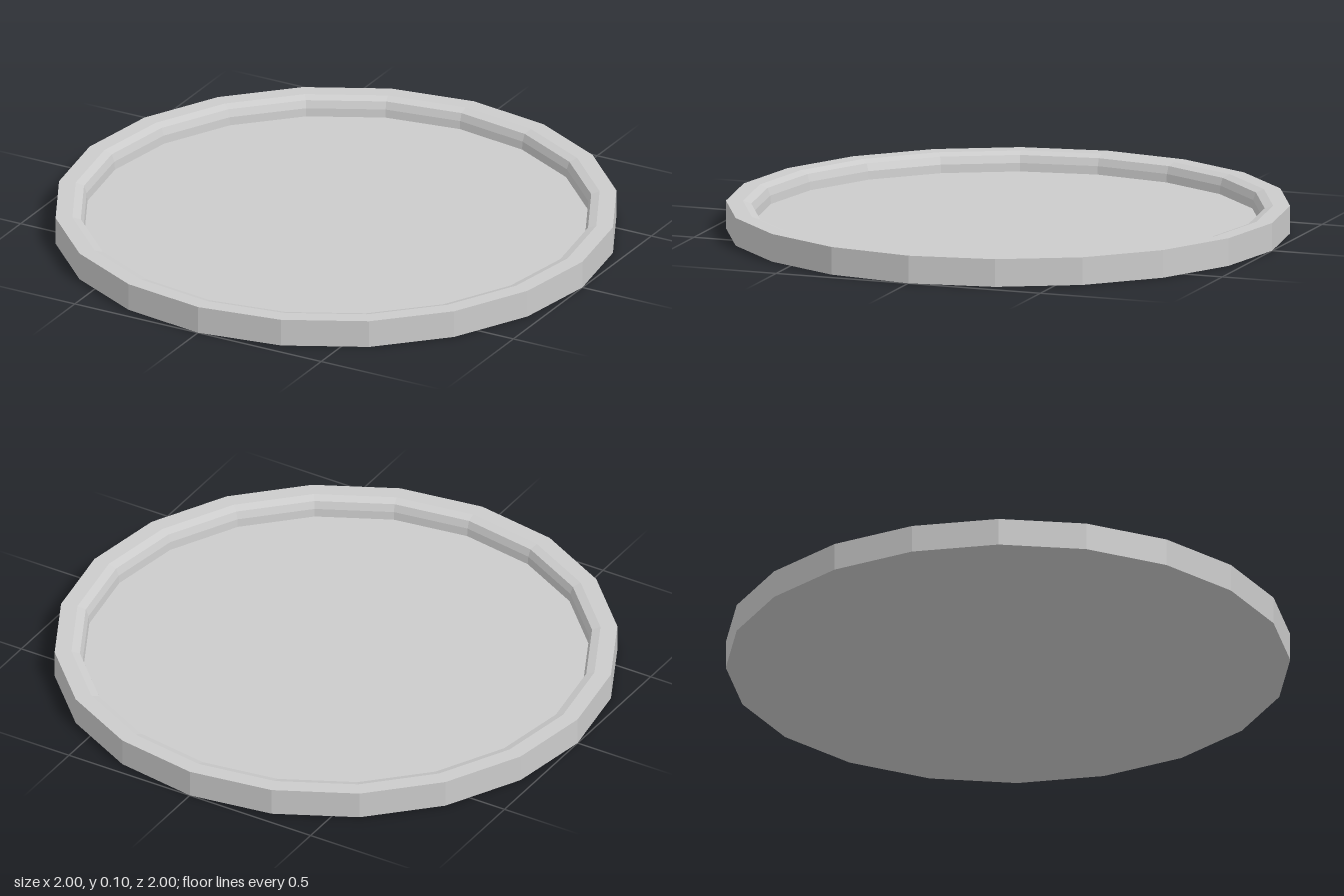
import * as THREE from 'three';

const SIDES = 20;

// Revolve a list of [radius, height] pairs into a faceted part
function turned(name, profile, material) {
  const points = profile.map(([r, y]) => new THREE.Vector2(r, y));
  const mesh = new THREE.Mesh(new THREE.LatheGeometry(points, SIDES), material);
  mesh.name = name;
  return mesh;
}

// Flat disc facing up or down, with corners matching the revolved parts
function disc(name, radius, y, facing, material) {
  const mesh = new THREE.Mesh(new THREE.CircleGeometry(radius, SIDES), material);
  mesh.rotation.x = -facing * Math.PI / 2;
  mesh.position.y = y;
  mesh.name = name;
  return mesh;
}

export function createModel() {
  const group = new THREE.Group();
  group.name = 'shallowTray';
  const material = new THREE.MeshStandardMaterial({ color: 0xcccccc, flatShading: true });

  // Raised rim: outer wall, flat top, eased inner lip, then the steep inner wall
  group.add(turned('rim', [
    [1, 0], [1, 0.1], [0.94, 0.1], [0.91, 0.09], [0.9, 0.063], [0.897, 0.033],
  ], material));

  // Recessed floor and flat underside
  group.add(disc('floor', 0.897, 0.033, 1, material));
  group.add(disc('underside', 1, 0, -1, material));

  return group;
}
